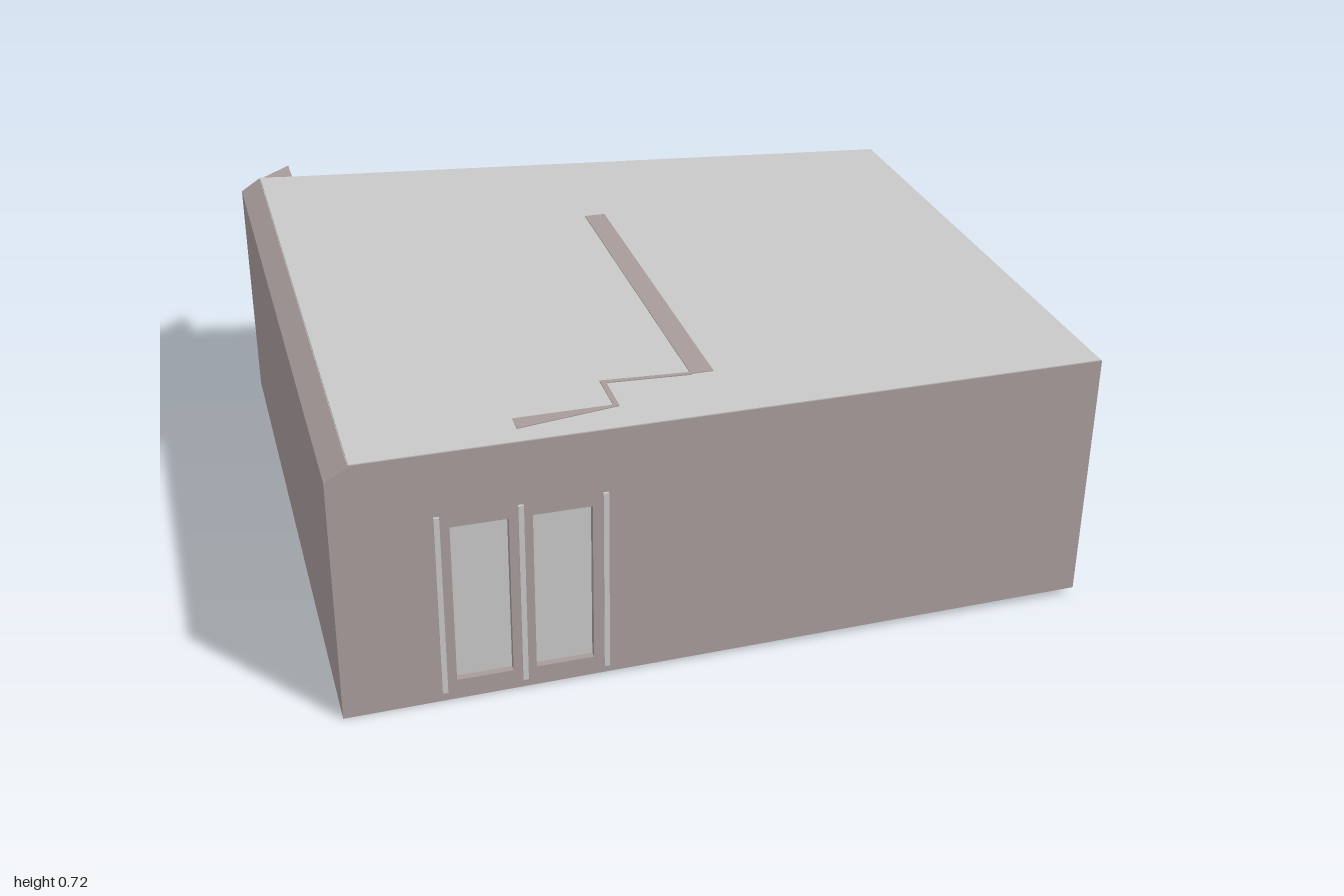
import * as THREE from 'three';

const mat = (name, color, side = THREE.FrontSide) => {
  const m = new THREE.MeshStandardMaterial({ color, side });
  m.name = name;
  return m;
};

export function createModel() {
  const model = new THREE.Group();
  model.name = 'room';
  const pink = mat('outer wall', 0xa89c9b);
  const grey = mat('plaster grey', 0xc8c8c8);
  const fixtureGrey = mat('fixture grey', 0xb0b0b0);

  const add = (name, geometry, material) => {
    const mesh = new THREE.Mesh(geometry, material);
    mesh.name = name;
    model.add(mesh);
    return mesh;
  };
  // box given by its limits on each axis
  const box = (name, material, x0, x1, y0, y1, z0, z1) => {
    const g = new THREE.BoxGeometry(x1 - x0, y1 - y0, z1 - z0);
    g.translate((x0 + x1) / 2, (y0 + y1) / 2, (z0 + z1) / 2);
    return add(name, g, material);
  };
  const polygon = (pts, holes = []) => {
    const shape = new THREE.Shape(pts.map(([x, y]) => new THREE.Vector2(x, y)));
    for (const [x0, x1, y0, y1] of holes) {
      shape.holes.push(new THREE.Path([
        new THREE.Vector2(x0, y0), new THREE.Vector2(x0, y1),
        new THREE.Vector2(x1, y1), new THREE.Vector2(x1, y0)]));
    }
    return shape;
  };
  const extrude = (pts, depth, holes) =>
    new THREE.ExtrudeGeometry(polygon(pts, holes), { depth, bevelEnabled: false });
  // horizontal plate from [x, z] points, rising from y0
  const plate = (name, material, pts, y0, thick) => {
    const g = extrude(pts.map(([x, z]) => [x, -z]), thick);
    g.rotateX(-Math.PI / 2);
    g.translate(0, y0, 0);
    return add(name, g, material);
  };

  // floor: underside slopes gently up towards the left
  const slab = extrude([[-1, 0], [0.998, 0.022], [0.998, 0.03], [-1, 0.03]], 1.83);
  slab.translate(0, 0, -0.88);
  add('floorSlab', slab, pink);
  box('floorTop', grey, -0.94, 0.998, 0.029, 0.035, -0.88, 0.945);

  // front wall with two door panes
  const front = extrude(
    [[-1, 0], [0.996, 0.022], [0.996, 0.718], [-0.938, 0.718], [-1, 0.68]], 0.02,
    [[-0.71, -0.565, 0.06, 0.51], [-0.505, -0.355, 0.06, 0.51]]);
  front.translate(0, 0, 0.94);
  add('frontWall', front, pink);
  box('frontWallLining', grey, -0.94, 0.97, 0.03, 0.713, 0.936, 0.942);
  for (const x of [-0.742, -0.535, -0.322]) {
    box('doorPost', grey, x - 0.007, x + 0.007, 0.03, 0.545, 0.955, 0.967);
  }

  // window wall, drawn along -z and turned to face +x
  const side = extrude([[-0.94, 0.022], [0.58, 0.022], [0.58, 0.718], [-0.94, 0.718]], 0.021, [
    [-0.36, -0.24, 0.26, 0.55], [-0.185, 0, 0.26, 0.55],
    [0.06, 0.175, 0.31, 0.55], [0.06, 0.175, 0.245, 0.292]]);
  side.rotateY(Math.PI / 2);
  side.translate(0.975, 0, 0);
  add('windowWall', side, pink);
  box('windowWallLining', grey, 0.971, 0.977, 0.03, 0.713, -0.29, 0.94);
  box('windowFrameUpright', pink, 0.99, 1, 0.285, 0.57, -0.203, -0.197);
  box('windowFrameRail', pink, 0.99, 1, 0.292, 0.299, -0.2, -0.04);

  // chamfered solid wall
  const solid = extrude([[-1, 0], [-0.942, 0], [-0.942, 0.718], [-1, 0.68]], 1.82);
  solid.translate(0, 0, -0.88);
  add('solidWall', solid, pink);
  box('solidWallLining', grey, -0.943, -0.938, 0.03, 0.713, -0.878, 0.94);

  // cove moulding, mitred outwards at the open end
  const coveProfile = [[0, 0.55], [0.008, 0.58], [0.025, 0.605], [0.06, 0.635],
    [0.082, 0.66], [0.096, 0.713], [0, 0.713]];
  const cove = extrude(coveProfile, 1.81);
  const p = cove.attributes.position;
  for (let i = 0; i < p.count; i++) {
    if (p.getZ(i) < 0.01) p.setZ(i, -p.getX(i) * 0.9);
  }
  cove.translate(-0.938, 0, -0.87);
  cove.computeVertexNormals();
  add('coveMoulding', cove, [pink, grey]);
  plate('coveTop', pink, [[-0.94, -0.876], [-0.842, -0.858], [-0.842, -0.965]], 0.712, 0.005);

  // roof with its slanted back edge
  plate('roof', grey, [[-0.94, 0.958], [0.994, 0.958], [0.994, -0.585],
    [-0.842, -0.86], [-0.94, -0.878]], 0.712, 0.008);

  // inner partitions, with their tops showing on the roof
  box('backPartition', grey, -0.55, 0.973, 0.03, 0.713, -0.29, -0.265);
  const partitions = [
    [[-0.04, -0.3], [0.02, -0.3], [0.02, 0.745], [-0.04, 0.745]],
    [[-0.272, 0.72], [-0.04, 0.738], [-0.04, 0.75], [-0.26, 0.734]],
    [[-0.272, 0.72], [-0.258, 0.72], [-0.258, 0.858], [-0.272, 0.858]],
    [[-0.525, 0.85], [-0.258, 0.85], [-0.258, 0.858], [-0.525, 0.9]],
  ];
  partitions.forEach((pts, i) => {
    const inner = i ? pts : [[-0.04, -0.27], [0.02, -0.27], [0.02, 0.745], [-0.04, 0.745]];
    plate('innerPartition', grey, inner, 0.03, 0.683);
    plate('partitionTop', pink, pts, 0.719, 0.0035);
  });

  // clustered upright bars standing free near the open end
  const rows = [[-0.838, 0.16], [-0.862, 0.12], [-0.887, 0.185], [-0.912, 0.18], [-0.937, 0.16]];
  rows.forEach(([z, h], r) => {
    for (let c = 0; c < 6; c++) {
      const x = 0.382 + c * 0.022 + (r % 2) * 0.005;
      const y = 0.233 + ((c * 3 + r * 2) % 5 - 2) * 0.004;
      box('fixtureBar', fixtureGrey, x - 0.006, x + 0.006, y - h / 2, y + h / 2, z - 0.008, z + 0.008);
    }
  });

  // small hanging fittings
  box('hangingPin', fixtureGrey, -0.205, -0.195, 0.52, 0.585, -0.823, -0.815);
  box('hangingKnob', fixtureGrey, -0.222, -0.2, 0.452, 0.472, -0.818, -0.806);

  return model;
}
